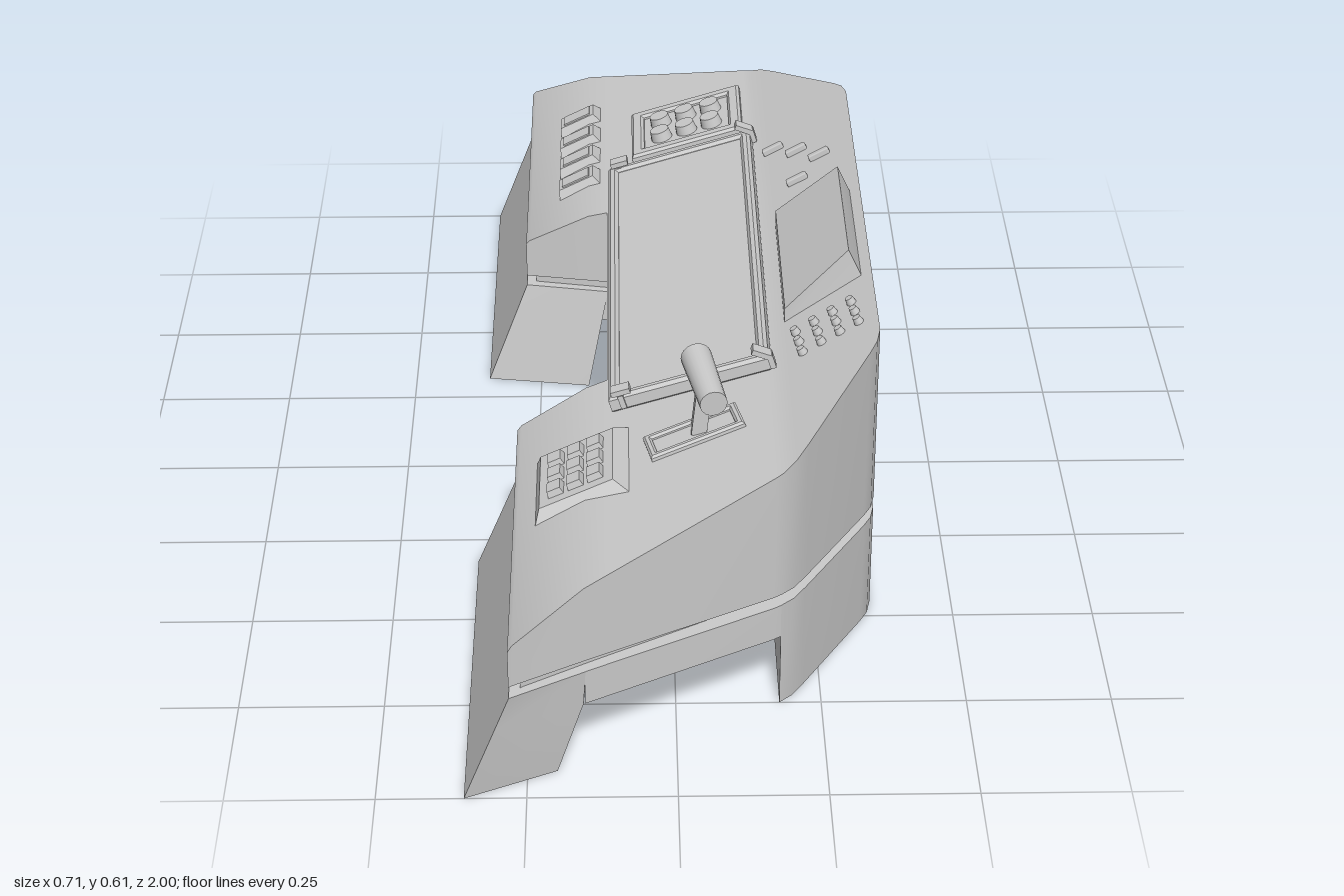
import * as THREE from 'three';
import { toCreasedNormals } from 'three/addons/utils/BufferGeometryUtils.js';
import { RoundedBoxGeometry } from 'three/addons/geometries/RoundedBoxGeometry.js';

const grey = new THREE.MeshStandardMaterial({ color: 0xcccccc });
const greyOpen = new THREE.MeshStandardMaterial({ color: 0xcccccc, side: THREE.DoubleSide });

// Desk plan: [x, inner half-width, outer half-width] from the knee side to the back
const PLAN = [
  [-0.275, 0.34, 1], [-0.268, 0.338, 0.995], [-0.152, 0.317, 0.93], [-0.115, 0.31, 0.91], [-0.115, 0, 0.91],
  [0.165, 0, 0.759], [0.178, 0, 0.75], [0.2, 0, 0.73], [0.222, 0, 0.697],
  [0.333, 0, 0.515], [0.347, 0, 0.488], [0.354, 0, 0.455],
];
// Height of the sloping desk top along x
const TOP = [[-0.275, 0.297], [-0.268, 0.306], [-0.152, 0.371], [0.178, 0.472], [0.354, 0.57]];
function topY(x) {
  let i = 1;
  while (i < TOP.length - 1 && x > TOP[i][0]) i++;
  const [x0, y0] = TOP[i - 1], [x1, y1] = TOP[i];
  return y0 + (y1 - y0) * (x - x0) / (x1 - x0);
}

function meshOf(name, geometry, material = grey) {
  const m = new THREE.Mesh(geometry, material);
  m.name = name;
  return m;
}

function quadGeometry(quads) {
  const pos = [];
  for (const [a, b, c, d] of quads) pos.push(...a, ...b, ...c, ...a, ...c, ...d);
  const g = new THREE.BufferGeometry();
  g.setAttribute('position', new THREE.Float32BufferAttribute(pos, 3));
  return toCreasedNormals(g, 0.5);
}

// Mirrored solid over the plan, between a floor height and a height rule
function planSolid(name, plan, low, high, openBelow = false) {
  const quads = [];
  for (const s of [1, -1]) {
    const add = (flip, ...q) => quads.push((s < 0) !== flip ? q.reverse() : q);
    const P = (st, col, up) => [st[0], up ? high(st[0]) : low, st[col] * s];
    const cap = (st, flip) => add(flip, P(st, 1, 0), P(st, 2, 0), P(st, 2, 1), P(st, 1, 1));
    for (let i = 0; i + 1 < plan.length; i++) {
      const a = plan[i], b = plan[i + 1];
      if (a[1] > 0) add(true, P(a, 1, 0), P(b, 1, 0), P(b, 1, 1), P(a, 1, 1));
      if (a[0] === b[0]) continue;
      add(false, P(a, 2, 0), P(b, 2, 0), P(b, 2, 1), P(a, 2, 1));
      for (const up of openBelow ? [1] : [1, 0]) add(!up, P(a, 1, up), P(a, 2, up), P(b, 2, up), P(b, 1, up));
    }
    cap(plan[0], false);
    cap(plan[plan.length - 1], true);
  }
  return meshOf(name, quadGeometry(quads), openBelow ? greyOpen : grey);
}

// Group lying on the desk top, its x axis running up the slope
function onTop(name, x, z, lift = 0, slope = (topY(x + 0.01) - topY(x - 0.01)) / 0.02) {
  const g = new THREE.Group();
  g.name = name;
  g.position.set(x, topY(x) + lift, z);
  g.rotation.z = Math.atan(slope);
  return g;
}

function put(group, name, geometry, x = 0, y = 0, z = 0) {
  const m = meshOf(name, geometry);
  m.position.set(x, y, z);
  group.add(m);
  return m;
}

// Bevelled rectangular rim, flat on its local floor
function rim(w, d, band, h) {
  const rect = (T, a, b) => new T().moveTo(-a, -b).lineTo(a, -b).lineTo(a, b).lineTo(-a, b).closePath();
  const bevel = Math.min(h * 0.4, band * 0.3);
  const shape = rect(THREE.Shape, w / 2 - bevel, d / 2 - bevel);
  shape.holes.push(rect(THREE.Path, w / 2 - band + bevel, d / 2 - band + bevel));
  return new THREE.ExtrudeGeometry(shape, {
    depth: h - bevel, bevelEnabled: true, bevelThickness: bevel, bevelSize: bevel, bevelSegments: 1,
  }).rotateX(-Math.PI / 2);
}

// Block whose top is inset on all sides
function taperedPad(w, d, h, inset) {
  const g = new THREE.BoxGeometry(w, h, d), p = g.attributes.position;
  for (let i = 0; i < p.count; i++) if (p.getY(i) > 0) {
    p.setX(i, p.getX(i) - Math.sign(p.getX(i)) * inset);
    p.setZ(i, p.getZ(i) - Math.sign(p.getZ(i)) * inset);
  }
  g.computeVertexNormals();
  return g;
}

export function createModel() {
  const model = new THREE.Group();
  model.name = 'controlDesk';

  // Desk body, recessed neck, base slab and hollow back panel
  model.add(planSolid('deskBody', PLAN, 0.227, topY));
  const neck = PLAN.map(([x, zi, zo]) => [x * (x < 0 ? 0.935 : 0.945), zi && zi + 0.015, zo - 0.028]);
  model.add(planSolid('recessedNeck', neck, 0.2, () => 0.232));
  model.add(planSolid('baseSlab', PLAN.filter(([x]) => x > -0.16 && x < 0.179), 0.14, () => 0.205));
  model.add(planSolid('backPanel', PLAN.filter(([x]) => x > 0.17), 0, () => 0.205, true));

  // Splayed hollow legs, open at the floor: plan corners at three heights
  const rings = [
    [0, [[-0.354, 0.32], [-0.155, 0.29], [-0.2, 0.93], [-0.354, 1]]],
    [0.14, [[-0.3, 0.334], [-0.128, 0.304], [-0.155, 0.931], [-0.3, 1]]],
    [0.205, [[-0.275, 0.34], [-0.115, 0.31], [-0.151, 0.93], [-0.275, 1]]],
  ];
  for (const s of [1, -1]) {
    const [a, b, c] = rings.map(([y, ring]) => ring.map(([x, z]) => [x, y, z * s]));
    const quads = [[c[3], c[2], c[1], c[0]]];
    for (const [low, high] of [[a, b], [b, c]])
      low.forEach((p, i) => quads.push([p, low[(i + 1) % 4], high[(i + 1) % 4], high[i]]));
    quads[0].reverse();
    // The corner order turns clockwise on the left leg and anticlockwise on the right
    if (s > 0) quads[0].reverse();
    else quads.slice(1).forEach((q) => q.reverse());
    model.add(meshOf(s > 0 ? 'leftLeg' : 'rightLeg', quadGeometry(s > 0
      ? quads.map((q, i) => (i ? [...q].reverse() : q)) : quads.map((q, i) => (i ? [...q].reverse() : q))), greyOpen));
  }

  // Long screen with rim and hooked corner clips
  const screen = onTop('screen', 0.033, -0.005, 0.004);
  put(screen, 'screenGlass', new THREE.BoxGeometry(0.27, 0.024, 0.83), 0, 0.008);
  put(screen, 'screenRim', rim(0.29, 0.86, 0.02, 0.027));
  for (const [x, tilt, postX] of [[-0.119, 0, -0.122], [0.136, -0.65, 0.149]]) for (const sz of [1, -1]) {
    const clip = put(screen, 'cornerClip', new THREE.BoxGeometry(0.034, 0.01, 0.024), x, 0.035, sz * 0.425);
    clip.rotation.z = tilt;
    put(screen, 'clipPost', new THREE.BoxGeometry(0.01, 0.026, 0.02), postX, 0.015, sz * 0.425);
  }
  model.add(screen);

  // Keypad with nine keys on a tapered pad
  const keypad = onTop('keypad', -0.162, 0.585, 0.001, 0.47);
  put(keypad, 'keypadPad', taperedPad(0.178, 0.2, 0.024, 0.02));
  for (let i = -1; i <= 1; i++) for (let j = -1; j <= 1; j++)
    put(keypad, 'key', taperedPad(0.03, 0.035, 0.016, 0.003), i * 0.037, 0.016, j * 0.045);
  model.add(keypad);

  // Row of four push buttons
  for (let i = 0; i < 4; i++) {
    const b = onTop('pushButton', -0.172, -0.74 + i * 0.09, 0.004, 0.5);
    put(b, 'buttonBase', taperedPad(0.094, 0.064, 0.024, 0.01));
    put(b, 'buttonCap', new THREE.BoxGeometry(0.058, 0.006, 0.034), 0, 0.012);
    model.add(b);
  }

  // Panel with six round knobs
  const knobs = onTop('knobPanel', 0.046, -0.585);
  put(knobs, 'knobPlate', new THREE.BoxGeometry(0.2, 0.008, 0.16));
  put(knobs, 'knobRim', rim(0.228, 0.19, 0.026, 0.013));
  for (let i = -1; i <= 1; i++) for (const j of [-1, 1])
    put(knobs, 'knob', new THREE.CylinderGeometry(0.019, 0.022, 0.023, 16), i * 0.052, 0.012, j * 0.031);
  model.add(knobs);

  // Lever in its slot
  const slot = onTop('leverSlot', 0.035, 0.56);
  put(slot, 'slotRim', rim(0.17, 0.075, 0.014, 0.01)).rotation.y = 0.2;
  put(slot, 'slotFloor', new THREE.BoxGeometry(0.15, 0.006, 0.06)).rotation.y = 0.2;
  model.add(slot);
  const lever = new THREE.Group();
  lever.name = 'lever';
  lever.position.set(0.044, 0.43, 0.555);
  put(lever, 'leverStem', new THREE.BoxGeometry(0.026, 0.1, 0.03), 0.003, 0.05, 0).rotation.z = -0.1;
  const grip = put(lever, 'leverGrip',
    new THREE.CylinderGeometry(0.0235, 0.027, 0.145, 20).rotateX(Math.PI / 2), 0.008, 0.102, 0);
  grip.rotation.set(0.04, 0.18, 0);
  model.add(lever);

  // Small indicator bars
  for (const [x, z] of [[0.208, -0.36], [0.25, -0.31], [0.29, -0.25], [0.246, -0.195]])
    put(model, 'indicatorBar', new RoundedBoxGeometry(0.042, 0.016, 0.014, 1, 0.003), x, topY(x) + 0.004, z)
      .rotation.z = 0.51;

  // Grid of small pegs
  for (let i = 0; i < 4; i++) for (let j = 0; j < 3; j++) {
    const peg = onTop('peg', 0.218 + i * 0.032 + j * 0.004, 0.34 + j * 0.037 - i * 0.004);
    put(peg, 'pegCap', new THREE.CylinderGeometry(0.007, 0.01, 0.018, 10), 0, 0.003);
    model.add(peg);
  }

  // Wedge-shaped display hood
  const side = (zf, zb) => [[0.2, 0.475, zf], [0.338, 0.552, zb], [0.335, 0.562, zb], [0.312, 0.611, zb], [0.2, 0.512, zf]];
  const L = side(0.285, 0.252), R = side(-0.075, -0.063);
  const hood = L.map((p, i) => [p, R[i], R[(i + 1) % 5], L[(i + 1) % 5]]);
  hood.push([L[0], L[1], L[2], L[3]], [L[0], L[3], L[4], L[4]], [R[3], R[2], R[1], R[0]], [R[4], R[4], R[3], R[0]]);
  model.add(meshOf('displayHood', quadGeometry(hood), greyOpen));

  return model;
}
